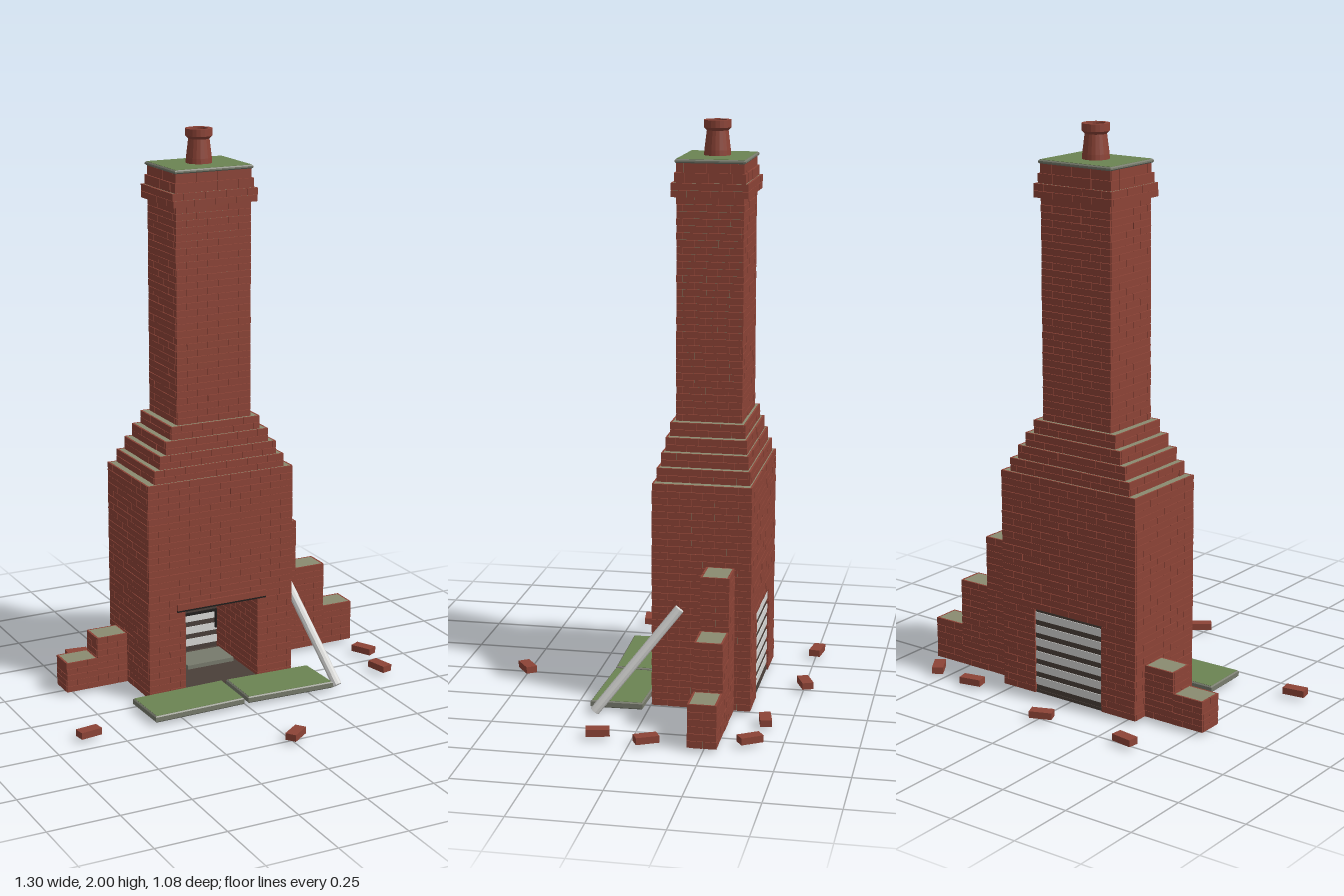
import * as THREE from 'three';
import { mergeGeometries } from 'three/addons/utils/BufferGeometryUtils.js';

const mat = (name, color) => Object.assign(new THREE.MeshStandardMaterial({ color }), { name });
const brick = mat('brick red', 0x8c4336);
const mortar = mat('mossy mortar', 0x8a8b70);
const moss = mat('moss green', 0x6b8452);
const stone = mat('weathered stone', 0x777a6c);
const metal = mat('pale metal', 0xd6d6d4);
const soot = mat('soot', 0x4a3f39);
const iron = mat('black iron', 0x1e1b1a);

const CX = -0.01, CZ = -0.18, GROUND = 0.015;
const COURSE = 0.0236, LENGTH = 0.08, THICK = 0.006, GAP = 0.0015;

let seed = 7;
const rand = () => (seed = (seed * 16807) % 2147483647) / 2147483647;

// Box given by its two extreme corners
function span(x0, x1, y0, y1, z0, z1) {
  return new THREE.BoxGeometry(x1 - x0, y1 - y0, z1 - z0)
    .translate((x0 + x1) / 2, (y0 + y1) / 2, (z0 + z1) / 2);
}

function add(group, name, geometry, material) {
  const mesh = new THREE.Mesh(geometry, material);
  mesh.name = name;
  group.add(mesh);
  return mesh;
}

// Split one course from a to b into bricks with staggered joints
function layRow(a, b, odd, lay) {
  let s = a;
  let e = a + (odd ? LENGTH / 2 : LENGTH);
  while (s < b - 0.004) {
    if (e > b - 0.012) e = b;
    lay(s, e - (e < b ? GAP : 0));
    s = e;
    e += LENGTH;
  }
}

// Mortar core faced with courses of thin bricks; hole = [x0, x1, top] runs front to back
function masonry(name, x0, x1, y0, y1, z0, z1, hole) {
  const group = new THREE.Group();
  group.name = name;
  const t = THICK, cores = [], bricks = [];
  const cx0 = x0 + t, cx1 = x1 - t, cz0 = z0 + t, cz1 = z1 - t;
  if (hole) {
    cores.push(span(cx0, hole[0] - t, y0, hole[2], cz0, cz1));
    cores.push(span(hole[1] + t, cx1, y0, hole[2], cz0, cz1));
    cores.push(span(cx0, cx1, hole[2], y1, cz0, cz1));
  } else cores.push(span(cx0, cx1, y0, y1, cz0, cz1));

  const n = Math.max(1, Math.round((y1 - y0) / COURSE)), h = (y1 - y0) / n;
  for (let i = 0; i < n; i++) {
    const a = y0 + i * h, b = a + h - (i < n - 1 ? GAP : 0), odd = i % 2 === 1;
    const open = hole && (a + b) / 2 < hole[2];
    const runs = open ? [[x0, hole[0]], [hole[1], x1]] : [[x0, x1]];
    for (const [p, q] of runs) {
      layRow(p, q, odd, (s, e) => bricks.push(span(s, e, a, b, cz1, z1 + rand() * 0.002)));
      layRow(p, q, odd, (s, e) => bricks.push(span(s, e, a, b, z0 - rand() * 0.002, cz0)));
    }
    layRow(cz0, cz1, !odd, (s, e) => {
      bricks.push(span(x0 - rand() * 0.002, cx0, a, b, s, e));
      bricks.push(span(cx1, x1 + rand() * 0.002, a, b, s, e));
      if (open) {
        bricks.push(span(hole[0] - t, hole[0], a, b, s, e));
        bricks.push(span(hole[1], hole[1] + t, a, b, s, e));
      }
    });
  }
  add(group, name + 'Mortar', mergeGeometries(cores), mortar);
  add(group, name + 'Bricks', mergeGeometries(bricks), brick);
  return group;
}

// Bevelled slab from a flat outline with a thin moss layer on top
function mossySlab(name, points, y0, y1) {
  const group = new THREE.Group();
  group.name = name;
  const c = points.reduce((s, p) => [s[0] + p[0] / 4, s[1] + p[1] / 4], [0, 0]);
  const outline = (inset) => new THREE.Shape(points.map(([x, z]) => new THREE.Vector2(
    x - Math.sign(x - c[0]) * inset, z - Math.sign(z - c[1]) * inset)));
  const bevel = 0.004;
  const body = new THREE.ExtrudeGeometry(outline(0), {
    depth: y1 - y0 - 2 * bevel, bevelEnabled: true, bevelSegments: 1,
    bevelSize: bevel, bevelThickness: bevel, bevelOffset: -bevel });
  add(group, name + 'Stone', body.rotateX(Math.PI / 2).translate(0, y1 - bevel, 0), stone);
  const top = new THREE.ExtrudeGeometry(outline(0.005), { depth: 0.002, bevelEnabled: false });
  add(group, name + 'Moss', top.rotateX(Math.PI / 2).translate(0, y1 + 0.001, 0), moss);
  return group;
}

export function createModel() {
  seed = 7;
  const model = new THREE.Group();
  model.name = 'ruinedChimney';

  // Fireplace body, stepped shoulders, stack and cornice: [name, half width, half depth, y0, y1]
  const hole = [-0.152, 0.135, 0.325];
  const tiers = [
    ['fireplaceBody', 0.284, 0.17, GROUND, 0.803, hole],
    ['shoulder1', 0.253, 0.159, 0.803, 0.85],
    ['shoulder2', 0.227, 0.149, 0.85, 0.897],
    ['shoulder3', 0.2, 0.139, 0.897, 0.944],
    ['shoulder4', 0.172, 0.128, 0.944, 0.991],
    ['stack', 0.143, 0.113, 0.991, 1.755],
    ['cornice', 0.16, 0.129, 1.755, 1.802],
    ['upperCornice', 0.15, 0.12, 1.802, 1.835],
    ['stackTop', 0.144, 0.114, 1.835, 1.867],
  ];
  for (const [name, w, d, y0, y1, opening] of tiers)
    model.add(masonry(name, CX - w, CX + w, y0, y1, CZ - d, CZ + d, opening));

  // Broken side walls stepping down: [x0, x1, top]
  [[-0.53, -0.411, 0.125], [-0.411, -0.294, 0.2], [0.274, 0.394, 0.522],
    [0.394, 0.514, 0.335], [0.514, 0.634, 0.165]].forEach(([x0, x1, top], i) =>
    model.add(masonry('brokenWall' + (i + 1), x0, x1, GROUND, top, -0.294, -0.199)));

  // Cap slab and chimney pot
  model.add(mossySlab('capSlab', [[-0.159, -0.3], [0.139, -0.3], [0.139, -0.06], [-0.159, -0.06]], 1.867, 1.88));
  const pot = [[0.03, 1.882], [0.046, 1.882], [0.045, 1.9], [0.037, 1.965], [0.047, 1.975],
    [0.047, 2], [0.032, 2], [0.03, 1.882]].map(([r, y]) => new THREE.Vector2(r, y));
  const potMesh = add(model, 'chimneyPot', new THREE.LatheGeometry(pot, 20).toNonIndexed(), brick);
  potMesh.geometry.computeVertexNormals();
  potMesh.position.set(CX, 0, CZ);

  // Lintel over the opening
  add(model, 'lintel', span(-0.186, 0.166, 0.331, 0.354, -0.03, -0.002), brick);
  add(model, 'lintelBar', span(-0.186, 0.166, 0.325, 0.331, -0.03, -0.003), iron);

  // Firebox floor, boarded back and ceiling
  add(model, 'fireboxFloor', span(hole[0], hole[1], GROUND, 0.026, -0.345, -0.012), soot);
  add(model, 'fireboxCeiling', span(hole[0], hole[1], 0.318, 0.3245, -0.34, -0.02), soot);
  add(model, 'backPanel', span(hole[0], hole[1], 0.026, 0.325, -0.343, -0.337), soot);
  const slats = [];
  for (let i = 0; i < 6; i++) {
    const y = 0.045 + i * 0.048;
    slats.push(span(hole[0], hole[1], y, y + 0.028, -0.346, -0.334));
  }
  add(model, 'backSlats', mergeGeometries(slats), metal);
  add(model, 'hearthPlate', span(-0.085, 0.1, 0.045, 0.06, -0.25, -0.13), stone);

  // Swinging pot crane
  add(model, 'potCrane', mergeGeometries([
    span(-0.138, -0.13, 0.026, 0.318, -0.09, -0.082),
    span(-0.138, 0.009, 0.273, 0.281, -0.09, -0.082),
    span(0.002, 0.009, 0.21, 0.275, -0.09, -0.082),
  ]), iron);

  // Two hearth slabs lying in front
  model.add(mossySlab('rightHearthSlab', [[-0.367, 0.004], [-0.012, -0.002], [-0.015, 0.18], [-0.362, 0.187]], GROUND, 0.039));
  model.add(mossySlab('leftHearthSlab', [[0.003, 0], [0.33, 0.012], [0.336, 0.193], [0, 0.18]], GROUND, 0.039));

  // Leaning drainpipe
  const a = new THREE.Vector3(0.287, 0.372, -0.108), b = new THREE.Vector3(0.365, 0.013, 0.172);
  const dir = a.clone().sub(b);
  const pipe = add(model, 'leaningPipe', new THREE.CylinderGeometry(0.017, 0.017, dir.length(), 10).toNonIndexed(), metal);
  pipe.geometry.computeVertexNormals();
  pipe.position.copy(a).add(b).multiplyScalar(0.5);
  pipe.quaternion.setFromUnitVectors(new THREE.Vector3(0, 1, 0), dir.normalize());

  // Fallen bricks: [x, z, turn in degrees]
  [[-0.364, -0.504, -8], [-0.014, -0.504, 22], [0.367, -0.418, 12], [0.544, -0.393, -57],
    [0.61, -0.057, -63], [0.579, 0.113, -77], [-0.607, 0.172, 8], [0.014, 0.5, 36]].forEach(([x, z, turn], i) => {
    const m = add(model, 'fallenBrick' + (i + 1), new THREE.BoxGeometry(0.08, 0.024, 0.04), brick);
    m.position.set(x, GROUND + 0.012, z);
    m.rotation.y = THREE.MathUtils.degToRad(turn);
  });

  return model;
}
